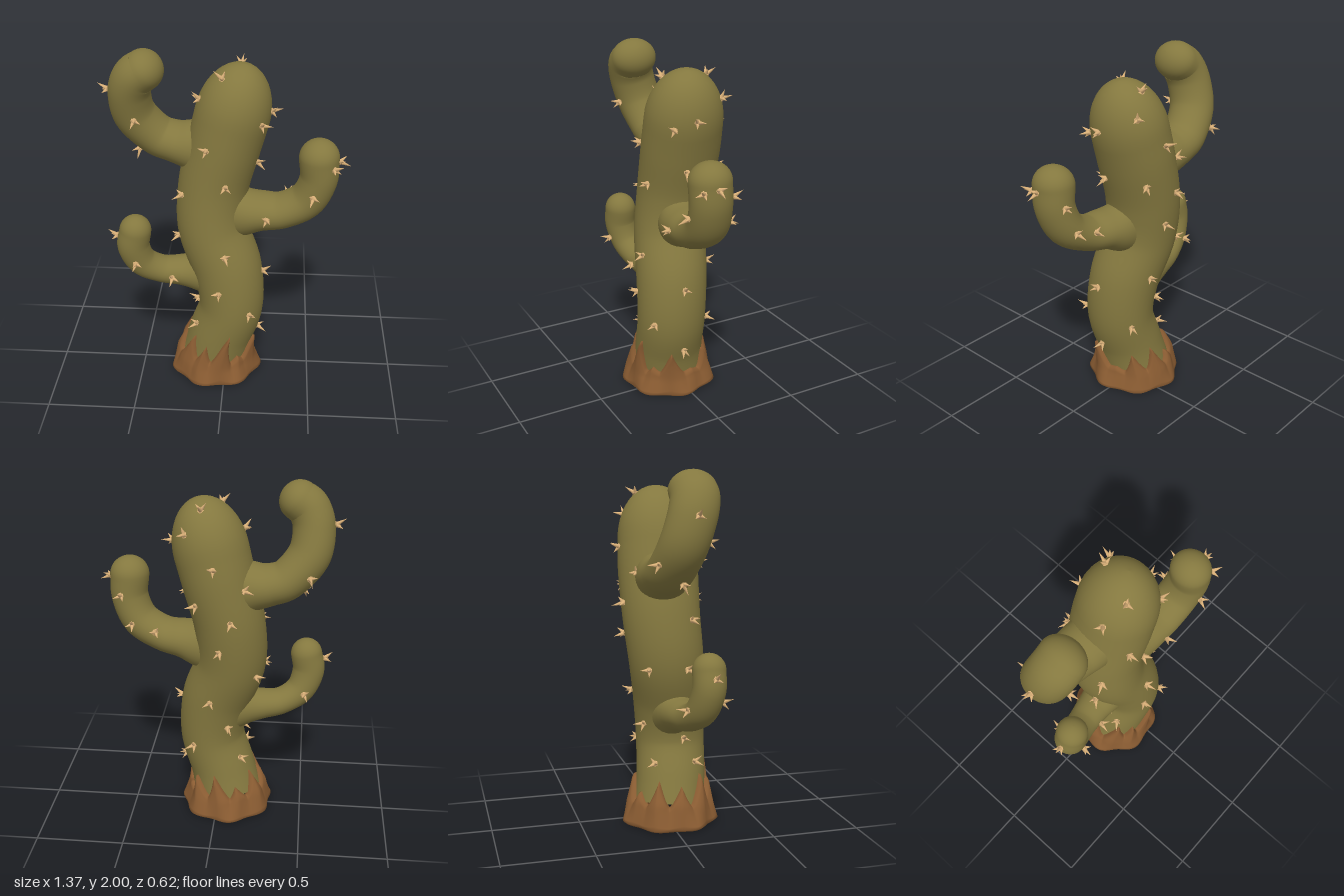
import * as THREE from 'three';
import { mergeGeometries } from 'three/addons/utils/BufferGeometryUtils.js';

const { lerp, degToRad } = THREE.MathUtils;

// A limb follows [x, y, z, in-plane radius, depth radius] stations and ends in a dome
function makeLimb(stations, dome) {
  const path = new THREE.CatmullRomCurve3(stations.map(s => new THREE.Vector3(s[0], s[1], s[2])), false, 'catmullrom');
  const radii = new THREE.CatmullRomCurve3(stations.map(s => new THREE.Vector3(s[3], s[4], 0)), false, 'catmullrom');
  return { path, radii, dome };
}

// u in 0..1 runs along the limb, 1..2 runs over the dome
function section(limb, u) {
  const k = Math.min(u, 1);
  const cap = Math.max(0, u - 1) * Math.PI / 2;
  const t = limb.path.getTangent(k);
  const b = new THREE.Vector3(0, 0, 1).addScaledVector(t, -t.z).normalize();
  const n = new THREE.Vector3().crossVectors(t, b);
  const c = limb.path.getPoint(k).addScaledVector(t, limb.dome * Math.sin(cap));
  const r = limb.radii.getPoint(k).multiplyScalar(Math.cos(cap));
  return { c, t, n, b, r, cap };
}

function surfacePoint(s, a, extra = 0) {
  return s.c.clone()
    .addScaledVector(s.n, Math.cos(a) * (s.r.x + extra))
    .addScaledVector(s.b, Math.sin(a) * (s.r.y + extra));
}

// Closed rings of points, joined into a smooth skin
function skin(rings) {
  const count = rings[0].length;
  const index = [];
  for (let i = 0; i < rings.length - 1; i++) {
    for (let j = 0; j < count; j++) {
      const k = (j + 1) % count;
      const a = i * count + j, b = i * count + k, c = a + count, d = b + count;
      index.push(a, c, b, b, c, d);
    }
  }
  const g = new THREE.BufferGeometry().setFromPoints(rings.flat());
  g.setIndex(index);
  g.computeVertexNormals();
  return g;
}

function limbGeometry(limb, along = 48, over = 12, around = 32) {
  const rings = [];
  for (let i = 0; i <= along + over; i++) {
    const u = i <= along ? i / along : 1 + (i - along) / over;
    const s = section(limb, u);
    rings.push(Array.from({ length: around }, (_, j) => surfacePoint(s, j / around * Math.PI * 2)));
  }
  return skin(rings);
}

// Find u where an upright limb's surface reaches a height on one side
function uAtHeight(limb, y, a) {
  let lo = 0, hi = 2;
  for (let i = 0; i < 24; i++) {
    const mid = (lo + hi) / 2;
    if (surfacePoint(section(limb, mid), a).y < y) lo = mid; else hi = mid;
  }
  return lo;
}

// Three thorns fanning out of one spot, one longer than the others
function thornCluster(limb, u, degrees, turn) {
  const s = section(limb, u), a = degToRad(degrees);
  const p = surfacePoint(s, a);
  const out = new THREE.Vector3().addScaledVector(s.n, Math.cos(a)).addScaledVector(s.b, Math.sin(a))
    .multiplyScalar(Math.cos(s.cap)).addScaledVector(s.t, Math.sin(s.cap)).normalize();
  const q = new THREE.Quaternion().setFromUnitVectors(new THREE.Vector3(0, 1, 0), out);
  return [0.078, 0.064, 0.056].map((length, i) =>
    new THREE.ConeGeometry(0.016, length, 8)
      .translate(0, length / 2 - 0.01, 0)
      .rotateZ([-0.45, -0.75, -0.85][i])
      .rotateY(turn + i * Math.PI * 2 / 3)
      .applyQuaternion(q)
      .translate(p.x, p.y, p.z));
}

// Jagged upper edge of the bark: [degrees, height], 0 = +x and 90 = +z
const barkEdge = [
  [0, 0.13], [22, 0.28], [40, 0.14], [52, 0.17], [63, 0.13], [80, 0.34], [97, 0.14], [112, 0.25], [122, 0.15],
  [140, 0.29], [158, 0.13], [176, 0.24], [194, 0.13], [212, 0.27], [230, 0.13], [247, 0.2], [260, 0.13],
  [278, 0.27], [296, 0.13], [314, 0.24], [332, 0.12], [346, 0.14], [360, 0.13]
];

function barkHeight(deg) {
  const i = Math.max(1, barkEdge.findIndex(e => e[0] >= deg));
  const [a0, h0] = barkEdge[i - 1], [a1, h1] = barkEdge[i];
  const f = (deg - a0) / (a1 - a0);
  const toPeak = h1 > h0 ? f : 1 - f;
  return lerp(Math.min(h0, h1), Math.max(h0, h1), Math.pow(toPeak, 1.3));
}

// Outer bark wall up to the jagged edge, then a lining back down inside the hollow foot
function barkGeometry(trunk) {
  const around = 180;
  const ring = (v, extraAt) => Array.from({ length: around }, (_, j) => {
    const deg = j / around * 360, a = degToRad(deg);
    const y = lerp(0.012, barkHeight(deg), v);
    const s = section(trunk, uAtHeight(trunk, Math.max(y, 0.1), a));
    const p = surfacePoint(s, a, extraAt(a));
    p.y = y;
    return p;
  });
  const rings = [];
  for (let i = 0; i < 10; i++) {
    const v = i / 10;
    rings.push(ring(v, a => 0.02 + (0.046 + 0.012 * Math.sin(a * 7 + 1)) * (1 - v)));
  }
  rings.push(ring(0.98, () => 0.014), ring(1, () => -0.002));
  for (const v of [1, 0.8, 0.6, 0.4, 0.2]) rings.push(ring(v, () => -0.014));
  rings.push(ring(0, () => 0.035));
  const foot = rings[0].map(p => new THREE.Vector3(lerp(p.x, -0.055, 0.05), 0, lerp(p.z, 0.02, 0.05)));
  return skin([foot, ...rings, foot]);
}

export function createModel() {
  const flesh = new THREE.MeshStandardMaterial({ color: 0x84783f, side: THREE.DoubleSide });
  flesh.name = 'olive green';
  const bark = new THREE.MeshStandardMaterial({ color: 0x8a5c32, side: THREE.DoubleSide });
  bark.name = 'bark brown';
  const thorn = new THREE.MeshStandardMaterial({ color: 0xdab078 });
  thorn.name = 'thorn tan';

  // Arms flare out where they grow from the trunk
  const limbs = {
    trunk: makeLimb([
      [-0.06, 0.1, 0.02, 0.2, 0.205], [-0.025, 0.25, 0.037, 0.19, 0.2], [0.035, 0.46, 0.05, 0.188, 0.2],
      [0.01, 0.7, 0.035, 0.2, 0.205], [-0.075, 0.95, -0.003, 0.2, 0.212], [-0.07, 1.2, -0.03, 0.2, 0.219],
      [-0.01, 1.45, -0.033, 0.204, 0.226], [0.033, 1.62, -0.028, 0.207, 0.221]
    ], 0.3),
    upperRightArm: makeLimb([
      [-0.12, 1.42, -0.045, 0.17, 0.15], [-0.2, 1.43, -0.055, 0.138, 0.148], [-0.29, 1.445, -0.062, 0.114, 0.14],
      [-0.39, 1.485, -0.06, 0.112, 0.132], [-0.495, 1.61, -0.03, 0.117, 0.13], [-0.515, 1.75, 0.01, 0.115, 0.13],
      [-0.485, 1.845, 0.035, 0.114, 0.13], [-0.43, 1.89, 0.04, 0.11, 0.13]
    ], 0.105),
    leftArm: makeLimb([
      [0.03, 1.045, 0.0, 0.16, 0.13], [0.11, 1.055, 0.015, 0.138, 0.138], [0.2, 1.07, 0.03, 0.11, 0.135],
      [0.32, 1.088, 0.047, 0.098, 0.126], [0.45, 1.165, 0.06, 0.102, 0.12], [0.51, 1.3, 0.075, 0.104, 0.117],
      [0.508, 1.43, 0.08, 0.11, 0.117]
    ], 0.105),
    lowerRightArm: makeLimb([
      [-0.1, 0.655, 0.025, 0.15, 0.13], [-0.175, 0.66, 0.03, 0.115, 0.115], [-0.26, 0.665, 0.037, 0.088, 0.1],
      [-0.37, 0.68, 0.055, 0.077, 0.09], [-0.475, 0.745, 0.085, 0.084, 0.088], [-0.52, 0.86, 0.108, 0.092, 0.09],
      [-0.505, 0.965, 0.112, 0.09, 0.09]
    ], 0.09)
  };

  const group = new THREE.Group();
  group.name = 'cactus';
  const add = (name, geometry, material) => {
    const mesh = new THREE.Mesh(geometry, material);
    mesh.name = name;
    group.add(mesh);
  };
  for (const [name, limb] of Object.entries(limbs)) add(name, limbGeometry(limb), flesh);
  add('barkBase', barkGeometry(limbs.trunk), bark);

  // Thorns on the trunk: [height, degrees]
  const thorns = [
    [1.49, 117], [1.28, 73], [1.19, 145], [0.86, 75], [0.63, 105], [0.48, 55], [0.36, 150], [1.37, 15],
    [1.62, 40], [1.86, 140], [0.92, 160], [1.73, 165], [1.66, 8], [0.69, 5], [0.3, 2], [0.5, 172],
    [1.75, -60], [1.58, -95], [1.36, -50], [1.28, -100], [1.1, -75], [0.76, -80], [0.45, -60], [1.87, -100],
    [1.45, -135], [0.92, -140], [0.58, -120], [0.36, -140]
  ].flatMap(([y, deg], i) =>
    thornCluster(limbs.trunk, uAtHeight(limbs.trunk, y, degToRad(deg)), deg, i * 1.7));

  // Thorns on the arms: [position along the arm, degrees around it]
  const armThorns = {
    upperRightArm: [[0.725, 180], [0.62, 80], [0.45, 165], [0.5, -120]],
    leftArm: [[0.967, 5], [0.95, 45], [0.767, 95], [0.41, 95], [0.683, -80], [0.875, -75], [0.54, -110]],
    lowerRightArm: [[0.917, 175], [0.75, 90], [0.42, 90], [0.667, -100]]
  };
  for (const [name, spots] of Object.entries(armThorns)) {
    spots.forEach(([u, deg], i) => thorns.push(...thornCluster(limbs[name], u, deg, i * 2.1)));
  }
  add('thorns', mergeGeometries(thorns), thorn);
  return group;
}
